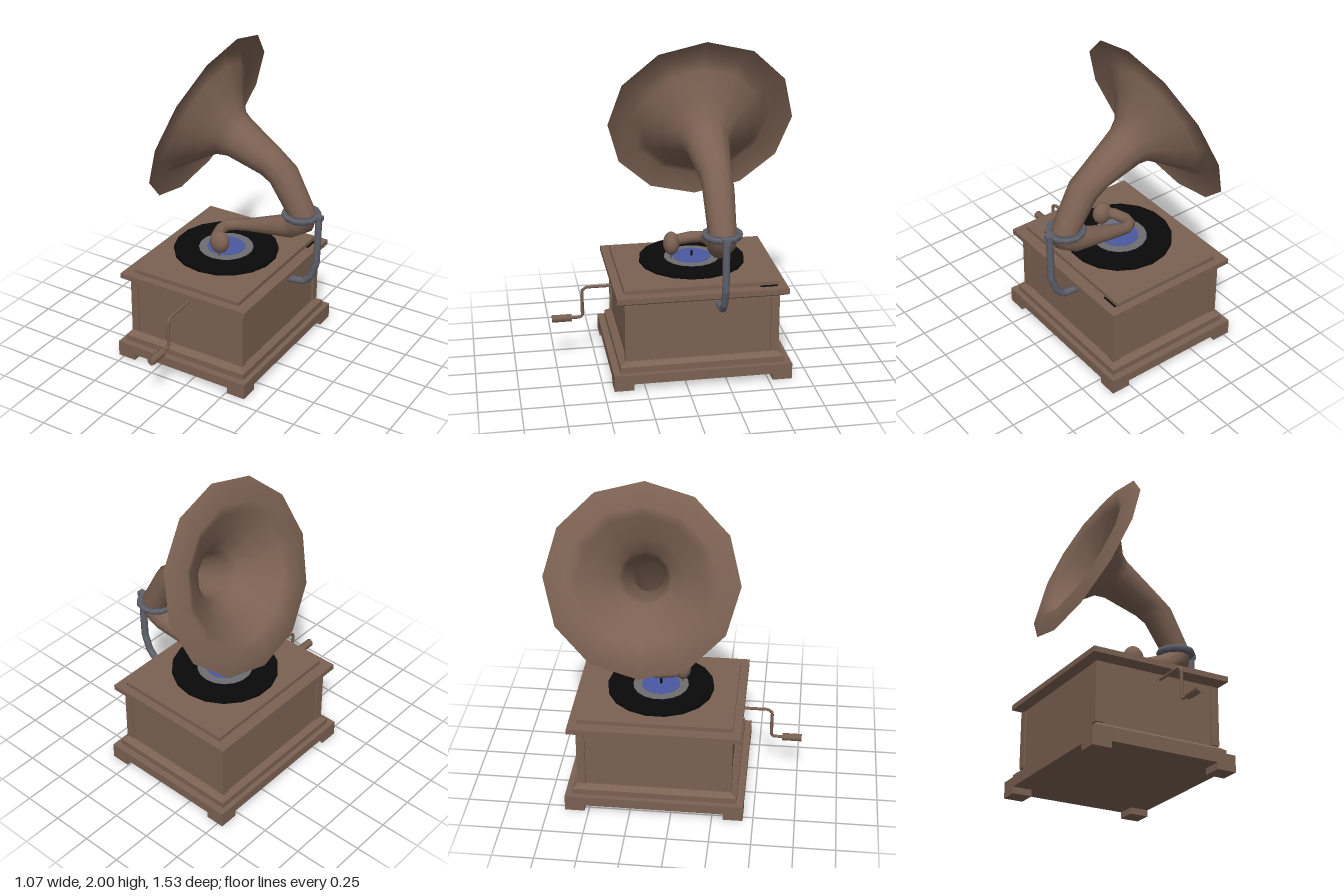
import * as THREE from 'three';

const mat = (name, color, side = THREE.FrontSide) => {
  const m = new THREE.MeshStandardMaterial({ color, side });
  m.name = name;
  return m;
};

export function createModel() {
  const root = new THREE.Group();
  root.name = 'gramophone';
  const wood = mat('brown wood', 0x7b6152, THREE.DoubleSide);
  const metal = mat('grey metal', 0x5f626c);
  const black = mat('black', 0x0a0a0a);
  const silver = mat('label grey', 0x6e6e72);
  const blue = mat('label blue', 0x4a58a0);
  const CX = -0.08, CZ = -0.103;

  const add = (name, geo, material, x = 0, y = 0, z = 0, parent = root) => {
    const m = new THREE.Mesh(geo, material);
    m.name = name;
    m.position.set(x, y, z);
    parent.add(m);
    return m;
  };

  // Rectangular slab, optionally tapering from bottom to top half sizes
  const slab = (name, y0, y1, bx, bz, tx = bx, tz = bz) => {
    const geo = new THREE.BoxGeometry(2, y1 - y0, 2).toNonIndexed();
    const p = geo.attributes.position;
    for (let i = 0; i < p.count; i++) {
      const top = p.getY(i) > 0;
      p.setX(i, p.getX(i) * (top ? tx : bx));
      p.setZ(i, p.getZ(i) * (top ? tz : bz));
    }
    geo.computeVertexNormals();
    return add(name, geo, wood, CX, (y0 + y1) / 2, CZ);
  };

  // Cabinet
  slab('plinth', 0.04, 0.1, 0.457, 0.542);
  slab('plinthStep', 0.1, 0.138, 0.425, 0.5);
  slab('plinthBevel', 0.138, 0.162, 0.425, 0.5, 0.395, 0.465);
  slab('cabinetBody', 0.16, 0.54, 0.388, 0.457);
  slab('corniceBevel', 0.53, 0.552, 0.4, 0.47, 0.44, 0.517);
  slab('cornice', 0.552, 0.585, 0.44, 0.517);
  slab('lid', 0.585, 0.61, 0.37, 0.466);
  for (const sx of [-1, 1]) for (const sz of [-1, 1]) {
    add('foot', new THREE.BoxGeometry(0.12, 0.04, 0.12), wood, CX + sx * 0.397, 0.02, CZ + sz * 0.482);
    add('cornerPost', new THREE.BoxGeometry(0.05, 0.355, 0.05), wood, CX + sx * 0.375, 0.345, CZ + sz * 0.443);
  }
  add('lidSlot', new THREE.BoxGeometry(0.01, 0.006, 0.105), black, 0.3, 0.588, -0.508);

  // Record, label and spindle
  add('record', new THREE.CylinderGeometry(0.325, 0.325, 0.02, 18), black, CX, 0.645, CZ);
  add('labelRing', new THREE.CylinderGeometry(0.17, 0.17, 0.004, 18), silver, CX, 0.656, CZ);
  add('label', new THREE.CylinderGeometry(0.117, 0.117, 0.004, 18), blue, CX, 0.659, CZ);
  add('spindle', new THREE.CylinderGeometry(0.007, 0.007, 0.09, 8), black, CX, 0.648, CZ);

  // Surface through round sections: [x, y, z, radius, optional axis]
  const loft = (name, sections, sides, material) => {
    const pos = [], index = [];
    const at = i => new THREE.Vector3(...sections[Math.min(Math.max(i, 0), sections.length - 1)].slice(0, 3));
    sections.forEach((s, i) => {
      const t = s[4] ? new THREE.Vector3(...s[4]) : at(i + 1).sub(at(i - 1));
      t.normalize();
      const u = new THREE.Vector3().crossVectors(t, new THREE.Vector3(0, 1, 0)).normalize();
      const w = new THREE.Vector3().crossVectors(u, t);
      for (let k = 0; k < sides; k++) {
        const a = (k / sides) * Math.PI * 2;
        const v = at(i).addScaledVector(w, Math.cos(a) * s[3]).addScaledVector(u, Math.sin(a) * s[3]);
        pos.push(v.x, v.y, v.z);
        if (i > 0) {
          const n = (k + 1) % sides, p = (i - 1) * sides, q = i * sides;
          index.push(p + k, q + k, p + n, p + n, q + k, q + n);
        }
      }
    });
    const geo = new THREE.BufferGeometry();
    geo.setAttribute('position', new THREE.Float32BufferAttribute(pos, 3));
    geo.setIndex(index);
    geo.computeVertexNormals();
    return add(name, geo, material);
  };

  // Horn with a rolled lip, narrowing into the curved neck
  const HZ = -0.19, mouth = [0.935, -0.354, 0];
  loft('horn', [
    [-0.262, 1.465, HZ, 0.572, mouth],
    [-0.302, 1.48, HZ, 0.44, mouth],
    [-0.262, 1.465, HZ, 0.375, mouth],
    [-0.19, 1.425, HZ, 0.26, mouth],
    [-0.105, 1.4, HZ, 0.16, mouth],
    [-0.045, 1.375, HZ - 0.005, 0.133, [0.93, -0.37, 0]],
    [0.172, 1.265, HZ - 0.01, 0.098, [0.87, -0.48, 0]],
    [0.262, 1.2, HZ - 0.01, 0.095, [0.6, -0.8, 0]],
    [0.385, 0.99, HZ - 0.01, 0.085, [0.3, -0.95, 0]],
    [0.395, 0.95, -0.2, 0.085, [0.1, -1, 0]],
  ], 12, wood);

  // Tone arm bending round to the sound box
  loft('toneArm', [
    [0.395, 0.965, -0.2, 0.085, [-0.1, -1, 0]],
    [0.39, 0.92, -0.2, 0.085, [-0.5, -0.85, 0]],
    [0.315, 0.87, -0.2, 0.075, [-0.9, -0.4, 0]],
    [0.02, 0.792, -0.2, 0.04],
    [-0.06, 0.775, -0.195, 0.037],
    [-0.11, 0.768, -0.165, 0.036],
    [-0.122, 0.765, -0.11, 0.036],
    [-0.1, 0.762, -0.02, 0.034],
    [-0.07, 0.76, 0.02, 0.03],
  ], 12, wood);
  const box = add('soundBox', new THREE.SphereGeometry(1, 14, 10), wood, -0.048, 0.76, 0.028);
  box.scale.set(0.065, 0.072, 0.05);
  const needle = add('needle', new THREE.ConeGeometry(0.018, 0.055, 8), wood, -0.048, 0.682, 0.028);
  needle.rotation.x = Math.PI;

  // Tube along a path
  const tube = (name, pts, r, material, sides = 8) => {
    const path = new THREE.CurvePath();
    const v = pts.map(p => new THREE.Vector3(...p));
    for (let i = 1; i < v.length; i++) path.add(new THREE.LineCurve3(v[i - 1], v[i]));
    return add(name, new THREE.TubeGeometry(path, 40, r, sides), material);
  };

  // Horn support: collar and curved bracket
  const collar = [[0.08, -0.018], [0.108, -0.018], [0.122, 0], [0.118, 0.018], [0.08, 0.018], [0.08, -0.018]];
  add('collar', new THREE.LatheGeometry(collar.map(p => new THREE.Vector2(...p)), 12), metal, 0.39, 0.966, -0.2);
  tube('bracket', [[0.508, 0.985, -0.203], [0.5, 0.66, -0.203], [0.465, 0.56, -0.203],
    [0.42, 0.51, -0.203], [0.31, 0.498, -0.203]], 0.022, metal);
  add('bracketTip', new THREE.BoxGeometry(0.05, 0.03, 0.04), metal, 0.505, 0.972, -0.203);

  // Crank with handle
  const KX = -0.063;
  tube('crank', [[KX, 0.5, 0.34], [KX, 0.5, 0.555], [KX, 0.478, 0.58], [KX, 0.315, 0.58],
    [KX, 0.302, 0.595], [KX, 0.302, 0.66]], 0.01, wood, 6);
  const handle = add('crankHandle', new THREE.CylinderGeometry(0.025, 0.025, 0.12, 6), wood, KX, 0.302, 0.708);
  handle.rotation.x = Math.PI / 2;

  return root;
}
